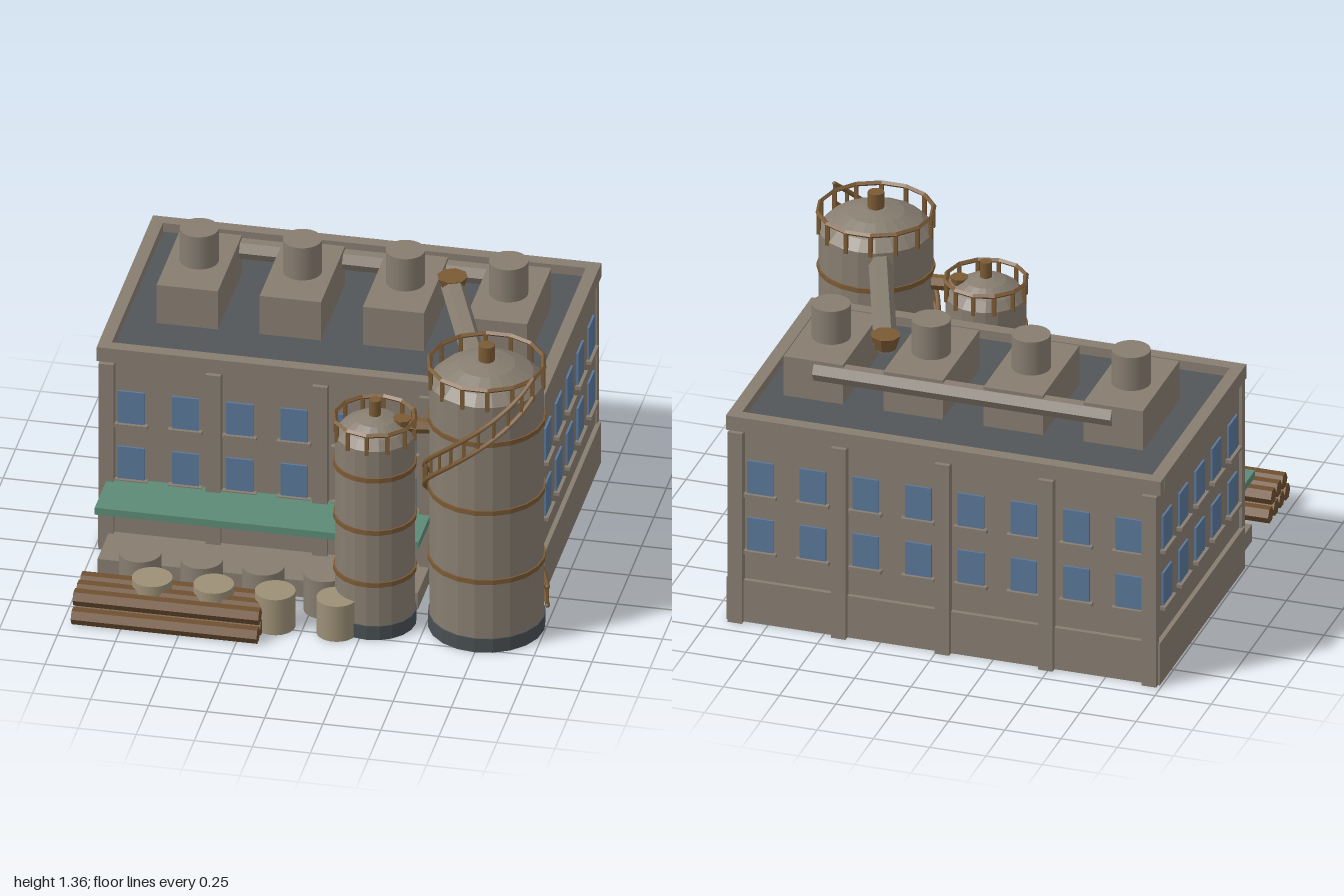
import * as THREE from 'three';

const mat = (name, color, extra = {}) => {
  const m = new THREE.MeshStandardMaterial({ color, ...extra });
  m.name = name;
  return m;
};

export function createModel() {
  const root = new THREE.Group();
  root.name = 'factory';
  const M = {
    wall: mat('wall stone', 0x877d70),
    roof: mat('roof slate', 0x525658),
    glass: mat('window blue', 0x5a7799),
    awning: mat('awning green', 0x5c8a76),
    brown: mat('rusty metal', 0x7a5a35),
    wood: mat('log wood', 0x6f5030),
    tan: mat('barrel tan', 0x9c8f76),
    base: mat('dark base', 0x484f52),
  };
  // Facets come from split normals so that each colour keeps one material
  const add = (name, geo, m, x = 0, y = 0, z = 0, parent = root, flat = false) => {
    let g = geo;
    if (flat) { g = geo.toNonIndexed(); g.computeVertexNormals(); }
    const mesh = new THREE.Mesh(g, m);
    mesh.name = name;
    mesh.position.set(x, y, z);
    parent.add(mesh);
    return mesh;
  };
  const box = (name, m, x0, x1, y0, y1, z0, z1, parent = root) =>
    add(name, new THREE.BoxGeometry(x1 - x0, y1 - y0, z1 - z0), m,
      (x0 + x1) / 2, (y0 + y1) / 2, (z0 + z1) / 2, parent);
  const cyl = (name, m, r, y0, y1, x, z, sides = 24, parent = root, flat = false, rTop = r) =>
    add(name, new THREE.CylinderGeometry(rTop, r, y1 - y0, sides), m, x, (y0 + y1) / 2, z, parent, flat);
  // Straight bar between two points, with corners to the sides
  const bar = (name, m, a, b, r, sides = 6, parent = root) => {
    const p = new THREE.Vector3(...a), q = new THREE.Vector3(...b);
    const geo = new THREE.CylinderGeometry(r, r, p.distanceTo(q), sides).rotateY(Math.PI / 2).rotateX(Math.PI / 2);
    const mesh = add(name, geo, m, 0, 0, 0, parent, true);
    mesh.position.copy(p).add(q).multiplyScalar(0.5);
    mesh.lookAt(q);
    return mesh;
  };

  // Main building
  const cx = -0.03, cz = -0.34;
  box('walls', M.wall, -0.97, 0.915, 0, 0.91, -0.885, 0.21);
  box('plinth', M.wall, -0.99, 0.935, 0, 0.197, -0.905, 0.23);
  for (const s of [-1, 1]) {
    const z = cz + s * 0.57;
    for (let i = 0; i < 5; i++) {
      const x = cx + (i - 2) * 0.46;
      box('pilaster', M.wall, x - 0.032, x + 0.032, 0, 0.9, z - 0.02, z + 0.02);
    }
    box('parapetLong', M.wall, -0.995, 0.936, 0.9, 0.967, Math.min(z, z - s * 0.055), Math.max(z, z - s * 0.055));
    const x = cx + s * 0.9655;
    box('parapetShort', M.wall, Math.min(x, x - s * 0.055), Math.max(x, x - s * 0.055), 0.9, 0.967, -0.855, 0.175);
  }
  box('roof', M.roof, -0.945, 0.885, 0.9, 0.925, -0.858, 0.178);

  // Windows with sills on all four walls
  const windowAt = (x, y, z, turn) => {
    const g = new THREE.Group();
    g.name = 'window';
    box('pane', M.glass, -0.058, 0.058, 0, 0.153, 0.001, 0.0105, g);
    box('sill', M.wall, -0.073, 0.073, -0.016, 0, 0, 0.025, g);
    g.position.set(x, y, z);
    g.rotation.y = turn;
    root.add(g);
  };
  for (const y of [0.338, 0.607]) {
    for (let i = 0; i < 8; i++) {
      const x = cx + (i - 3.5) * 0.234;
      windowAt(x, y, 0.21, 0);
      windowAt(x, y, -0.885, Math.PI);
    }
    for (let i = 0; i < 5; i++) {
      const z = -0.333 + (i - 2) * 0.218;
      windowAt(0.915, y, z, Math.PI / 2);
      windowAt(-0.97, y, z, -Math.PI / 2);
    }
  }

  // Loading dock and awning
  box('loadingDock', M.wall, -0.94, 0.44, 0, 0.08, 0.22, 0.47);
  box('awning', M.awning, -0.95, 0.445, 0.3, 0.333, 0.21, 0.48);

  // Roof vents joined by a duct
  for (let i = 0; i < 4; i++) {
    const x = -0.674 + i * 0.444;
    box('ventHousing', M.wall, x - 0.132, x + 0.132, 0.92, 1.11, -0.58, -0.095);
    cyl('ventStack', M.wall, 0.083, 1.11, 1.266, x, -0.34);
  }
  bar('roofDuct', M.wall, [-0.67, 1.057, -0.562], [0.655, 1.057, -0.562], 0.044);

  // Barrels
  for (let i = 0; i < 4; i++) {
    cyl('greyBarrel', M.wall, 0.09, 0, 0.18, -0.74 + i * 0.265, 0.545);
    cyl('tanBarrel', M.tan, 0.086, 0, 0.17, -0.65 + i * 0.265, 0.725);
  }

  // Log pile in two layers
  for (let row = 0; row < 2; row++)
    for (let i = 0; i < 4 - row; i++) {
      const z = 0.66 + i * 0.074 + row * 0.037, y = 0.035 + row * 0.07;
      bar('log', M.wood, [-0.96, y, z], [-0.16, y, z], 0.037);
    }

  // Silo with hoops, shallow dome, cap and railing
  const silo = (name, x, z, r, top, domeTop, capTop, capR, hoops, railY, posts) => {
    const g = new THREE.Group();
    g.name = name;
    g.position.set(x, 0, z);
    root.add(g);
    cyl('foot', M.base, r + 0.006, 0, 0.065, 0, 0, 20, g, true);
    cyl('drum', M.wall, r, 0.06, top, 0, 0, 20, g, true);
    const h = domeTop - top;
    const dome = [[r, 0], [r * 0.82, 0.42], [r * 0.5, 0.8], [r * 0.2, 0.97], [0, 1]]
      .map(([a, b]) => new THREE.Vector2(a, top + b * h));
    add('dome', new THREE.LatheGeometry(dome, 20), M.wall, 0, 0, 0, g, true);
    cyl('cap', M.brown, capR, domeTop - 0.03, capTop, 0, 0, 10, g);
    for (const y of hoops) cyl('hoop', M.brown, r + 0.007, y - 0.011, y + 0.011, 0, 0, 20, g, true);
    const ring = new THREE.TorusGeometry(r + 0.003, 0.011, 4, posts).rotateX(Math.PI / 2);
    add('topRail', ring, M.brown, 0, railY, 0, g, true);
    for (let i = 0; i < posts; i++) {
      const a = i / posts * Math.PI * 2;
      box('railPost', M.brown, -0.008, 0.008, top - 0.015, railY, -0.008, 0.008, g)
        .position.set(Math.cos(a) * r, (top + railY - 0.015) / 2, Math.sin(a) * r);
    }
    return g;
  };
  const big = silo('largeSilo', 0.748, 0.525, 0.243, 1.185, 1.285, 1.355, 0.035, [0.34, 0.675, 1.007], 1.27, 14);
  silo('smallSilo', 0.281, 0.59, 0.17, 0.91, 1.0, 1.07, 0.026, [0.265, 0.518, 0.772], 0.988, 12);

  // Spiral stair around the large silo: two rails with uprights
  const spiral = (t, lift) => {
    const a = THREE.MathUtils.degToRad(-25 - 305 * t);
    return new THREE.Vector3(Math.cos(a) * 0.263, 0.055 + 1.145 * t + lift, Math.sin(a) * 0.263);
  };
  for (const lift of [0, 0.09]) {
    const pts = Array.from({ length: 29 }, (_, i) => spiral(i / 28, lift));
    const geo = new THREE.TubeGeometry(new THREE.CatmullRomCurve3(pts), 56, 0.011, 5);
    add('spiralRail', geo, M.brown, 0, 0, 0, big);
    for (const i of [0, 28])
      add('railEnd', new THREE.SphereGeometry(0.011, 6, 4), M.brown, pts[i].x, pts[i].y, pts[i].z, big);
  }
  for (let i = 0; i <= 22; i++) {
    const p = spiral(i / 22, 0.045);
    add('spiralPost', new THREE.BoxGeometry(0.012, 0.09, 0.012), M.brown, p.x, p.y, p.z, big);
  }

  // Feed chute from the roof to the large silo
  bar('feedChute', M.wall, [0.415, 1.112, -0.345], [0.66, 1.128, 0.32], 0.05);
  cyl('chuteHead', M.brown, 0.045, 1.095, 1.16, 0.415, -0.345, 8, root, true, 0.066);

  // Pipe joining the two silos
  bar('siloPipe', M.brown, [0.39, 0.95, 0.575], [0.53, 0.95, 0.555], 0.033);
  cyl('pipeHead', M.brown, 0.03, 0.925, 0.985, 0.395, 0.575, 8, root, true, 0.04);

  return root;
}
